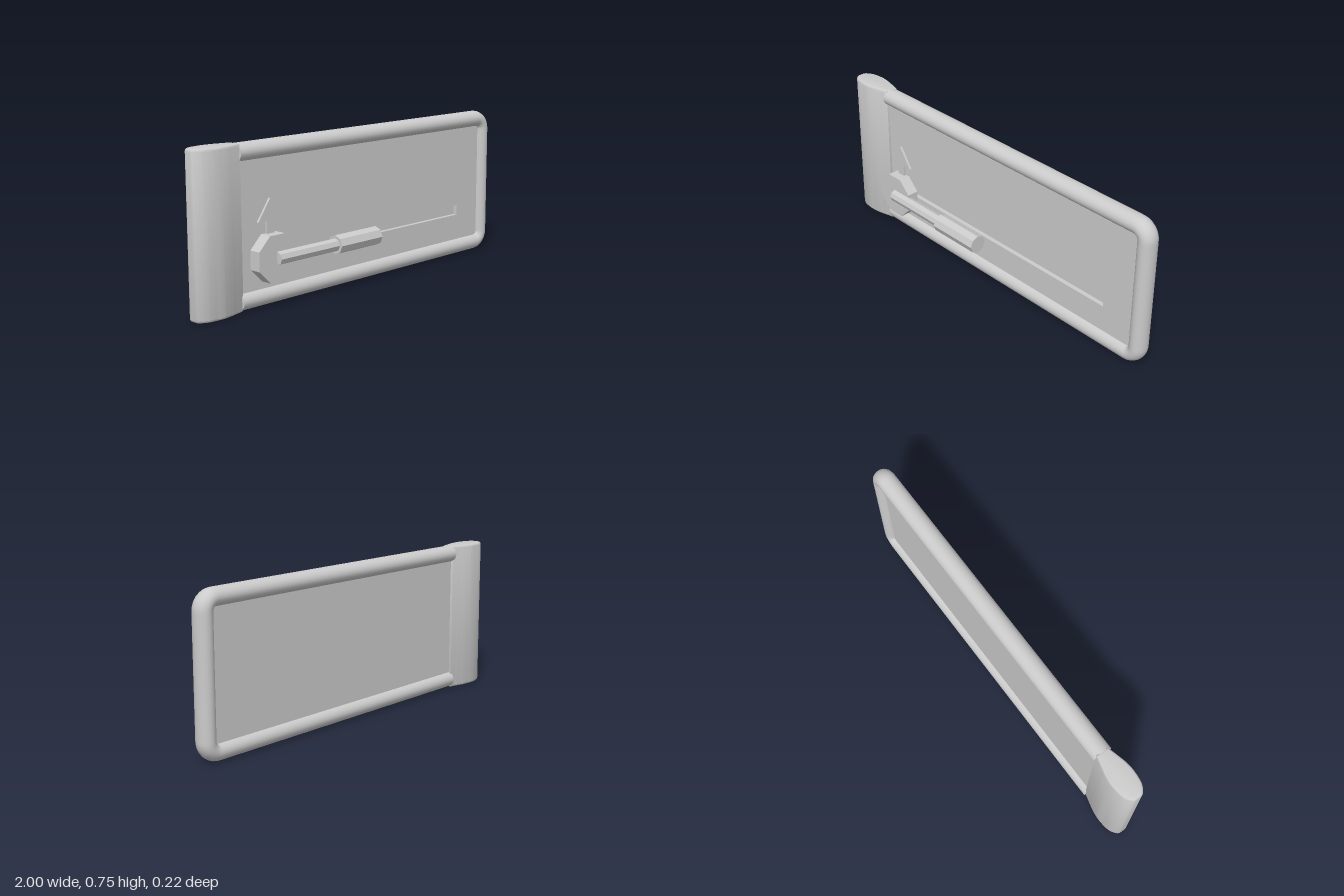
import * as THREE from 'three';
import { toCreasedNormals } from 'three/addons/utils/BufferGeometryUtils.js';

const H = 0.755;      // overall height
const ZC = -0.048;    // middle plane of frame and panel
const PIVOT = { x: -0.608, y: 0.235 };

export function createModel() {
  const group = new THREE.Group();
  const smooth = new THREE.MeshStandardMaterial({ color: 0xcccccc });
  const faceted = new THREE.MeshStandardMaterial({ color: 0xcccccc, flatShading: true });

  const add = (name, geometry, material, x = 0, y = 0, z = 0) => {
    const mesh = new THREE.Mesh(geometry, material);
    mesh.name = name;
    mesh.position.set(x, y, z);
    group.add(mesh);
    return mesh;
  };
  const polygon = (points) => new THREE.Shape(points.map(([x, y]) => new THREE.Vector2(x, y)));
  const plate = (shape, depth) => new THREE.ExtrudeGeometry(shape, { depth, bevelEnabled: false });

  // Rounded edge rail: teardrop section carried up the full height
  const half = [[-0.985, 0.022], [-0.95, 0.043], [-0.89, 0.05], [-0.84, 0.045], [-0.79, 0.033], [-0.755, 0.024]];
  const section = new THREE.Shape();
  section.moveTo(-0.755, -0.024);
  section.lineTo(-0.755, 0.024);
  section.splineThru([
    ...half.slice(0, -1).reverse().map(([x, z]) => new THREE.Vector2(x, z)),
    new THREE.Vector2(-0.989, 0),
    ...half.map(([x, z]) => new THREE.Vector2(x, -z)),
  ]);
  const bevel = 0.011;
  const railGeo = new THREE.ExtrudeGeometry(section, {
    depth: H - 2 * bevel, curveSegments: 40,
    bevelThickness: bevel, bevelSize: bevel, bevelSegments: 3,
  });
  railGeo.rotateX(-Math.PI / 2);
  add('edgeRail', toCreasedNormals(railGeo, 0.7), smooth, 0, bevel, -0.049);

  // U-shaped tubular frame, slightly deeper than it is wide
  const r = 0.042, bend = 0.056, left = -0.752, right = 1 - r, low = r, high = H - r;
  const v = (x, y) => new THREE.Vector3(x, y, 0);
  const k = bend * 0.45;
  const path = new THREE.CurvePath();
  path.add(new THREE.LineCurve3(v(left, low), v(right - bend, low)));
  path.add(new THREE.CubicBezierCurve3(v(right - bend, low), v(right - k, low), v(right, low + k), v(right, low + bend)));
  path.add(new THREE.LineCurve3(v(right, low + bend), v(right, high - bend)));
  path.add(new THREE.CubicBezierCurve3(v(right, high - bend), v(right, high - k), v(right - k, high), v(right - bend, high)));
  path.add(new THREE.LineCurve3(v(right - bend, high), v(left, high)));
  add('frameTube', new THREE.TubeGeometry(path, 300, r, 24), smooth, 0, 0, ZC).scale.z = 1.15;
  for (const y of [low, high]) {
    const cap = add('frameTubeCap', new THREE.CircleGeometry(r, 24), smooth, left, y, ZC);
    cap.rotation.y = -Math.PI / 2;
    cap.scale.x = 1.15;
  }

  // Panel: solid back sheet plus a front sheet with the guide slot
  const rect = (x0, y0, x1, y1) => [[x0, y0], [x1, y0], [x1, y1], [x0, y1]];
  const outline = rect(-0.77, 0.06, 0.94, H - 0.06);
  add('panelBack', plate(polygon(outline), 0.018), faceted, 0, 0, -0.068);
  const front = polygon(outline);
  front.holes.push(polygon(rect(-0.63, 0.213, 0.755, 0.264).reverse()));
  add('panelFront', plate(front, 0.022), faceted, 0, 0, -0.05);

  // Octagonal cylinders with a flat or a corner facing up
  const octagon = (radius, length, turn) =>
    new THREE.CylinderGeometry(radius, radius, length, 8, 1, false, turn);

  // Latch dial on its axle
  const axle = octagon(0.022, 0.07, Math.PI / 8);
  axle.rotateX(Math.PI / 2);
  add('axle', axle, faceted, PIVOT.x, PIVOT.y, -0.025);
  const dial = octagon(0.1075 / Math.cos(Math.PI / 8), 0.06, Math.PI / 8);
  dial.rotateX(Math.PI / 2);
  add('dial', dial, faceted, PIVOT.x, PIVOT.y, 0.035);

  // Arrow pointer above the dial
  const arrow = polygon([
    [-0.022, 0.06], [0.022, 0.06], [0.022, 0.165], [0.072, 0.165],
    [0, 0.267], [-0.072, 0.165], [-0.022, 0.165],
  ]);
  add('pointer', plate(arrow, 0.011), faceted, PIVOT.x, PIVOT.y, 0.009);

  // Lever arm and grip
  const bar = (name, radius, x0, x1) => {
    const geo = octagon(radius, x1 - x0, 0);
    geo.rotateZ(Math.PI / 2);
    add(name, geo, faceted, (x0 + x1) / 2, PIVOT.y, 0.065);
  };
  bar('leverArm', 0.031, -0.612, -0.24);
  bar('leverGrip', 0.046, -0.25, 0.024);

  return group;
}
